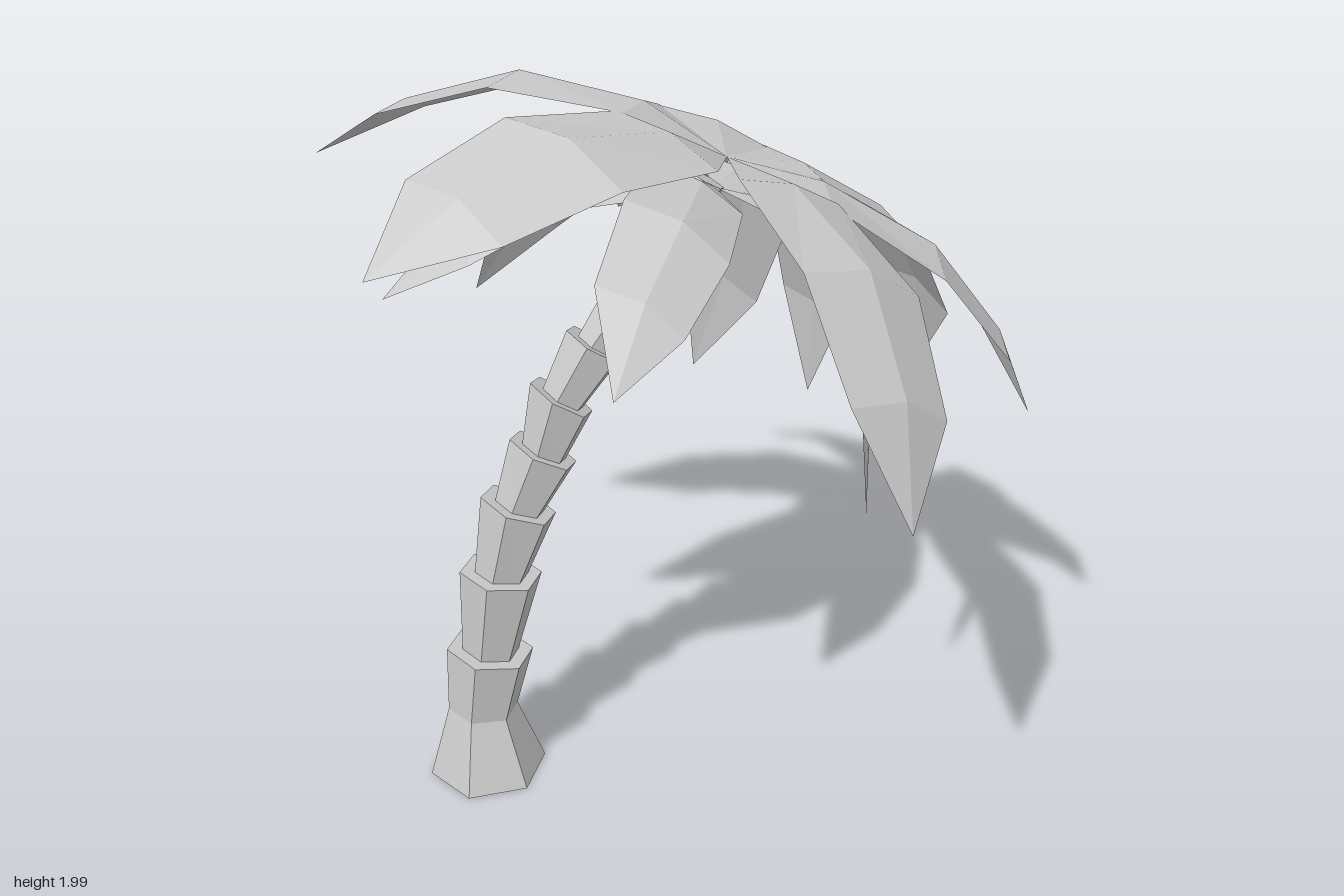
import * as THREE from 'three';

const trunkMaterial = new THREE.MeshStandardMaterial({ color: 0xcccccc, flatShading: true });
const leafMaterial = new THREE.MeshStandardMaterial({ color: 0xcccccc, flatShading: true, side: THREE.DoubleSide });

const LEAN = THREE.MathUtils.degToRad(24);
const AXIS = new THREE.Vector3(Math.sin(LEAN), Math.cos(LEAN), 0);
const CROWN = new THREE.Vector3(0.09, 1.79, 0);
const LOWER_CROWN = CROWN.clone().addScaledVector(AXIS, -0.085);

function meshFromTriangles(points, material, name) {
  const geometry = new THREE.BufferGeometry().setFromPoints(points);
  geometry.computeVertexNormals();
  const mesh = new THREE.Mesh(geometry, material);
  mesh.name = name;
  return mesh;
}

// Hexagonal ring centred at (x, y), leaning toward +x by tilt degrees
function ring([x, y, radius, tilt]) {
  const t = THREE.MathUtils.degToRad(tilt);
  return Array.from({ length: 6 }, (_, i) => {
    const a = (i * Math.PI) / 3;
    const across = radius * Math.cos(a);
    return new THREE.Vector3(x + across * Math.cos(t), y - across * Math.sin(t), radius * Math.sin(a));
  });
}

// Closed hexagonal solid through a list of rings
function loft(sections, name) {
  const rings = sections.map(ring);
  const centres = sections.map(([x, y]) => new THREE.Vector3(x, y, 0));
  const last = rings.length - 1;
  const tris = [];
  for (let i = 0; i < 6; i++) {
    const j = (i + 1) % 6;
    for (let k = 0; k < last; k++) {
      const a = rings[k], b = rings[k + 1];
      tris.push(a[i], b[i], b[j], a[i], b[j], a[j]);
    }
    tris.push(centres[0], rings[0][i], rings[0][j]);
    tris.push(centres[last], rings[last][j], rings[last][i]);
  }
  return meshFromTriangles(tris, trunkMaterial, name);
}

// Drooping leaf with a raised rib, from root to tip; it may roll (degrees) and sway sideways
function leaf(root, [x, y, z, roll = 0, sway = 0], width, name) {
  const end = new THREE.Vector3(x, y, z);
  const offset = end.clone().sub(root);
  const drop = -offset.dot(AXIS);
  const reach = offset.clone().addScaledVector(AXIS, drop);
  const along = reach.clone().normalize();
  const angle = THREE.MathUtils.degToRad(roll);
  const side = new THREE.Vector3().crossVectors(AXIS, along).applyAxisAngle(along, angle);
  const up = AXIS.clone().applyAxisAngle(along, angle);

  // Share of the reach, share of the drop, half width, rib height
  const stations = [
    [0.245, -0.035, 0.178, 0.022],
    [0.57, 0.145, 0.205, 0.04],
    [0.825, 0.56, 0.17, 0.035],
  ].map(([share, fall, half, rib]) => {
    const mid = root.clone().addScaledVector(reach, share).addScaledVector(AXIS, -fall * drop);
    return [
      mid.clone().addScaledVector(side, half * width + sway),
      mid.clone().addScaledVector(side, sway).addScaledVector(up, rib * width),
      mid.clone().addScaledVector(side, sway - half * width),
    ];
  });
  const tris = [];
  for (let c = 0; c < 2; c++) {
    tris.push(root, stations[0][c], stations[0][c + 1]);
    for (let k = 0; k < 2; k++) {
      const a = stations[k], b = stations[k + 1];
      tris.push(a[c], b[c], b[c + 1], a[c], b[c + 1], a[c + 1]);
    }
    tris.push(stations[2][c], end, stations[2][c + 1]);
  }
  return meshFromTriangles(tris, leafMaterial, name);
}

export function createModel() {
  const tree = new THREE.Group();
  tree.name = 'palmTree';

  // Trunk: flared foot, then stacked segments that widen upward
  const trunk = new THREE.Group();
  trunk.name = 'trunk';
  trunk.add(loft([[-0.625, 0, 0.168, 0], [-0.63, 0.21, 0.1, 5], [-0.6, 0.4, 0.124, 9]], 'trunkBase'));
  const joints = [
    [-0.6, 0.4, 0.124, 9],
    [-0.557, 0.647, 0.116, 9],
    [-0.498, 0.852, 0.11, 21],
    [-0.423, 1.01, 0.101, 27],
    [-0.367, 1.163, 0.098, 32],
    [-0.273, 1.307, 0.088, 33],
    [-0.147, 1.465, 0.08, 38],
    [-0.055, 1.6, 0.068, 32],
    [0.035, 1.735, 0.055, 30],
  ];
  for (let i = 1; i < joints.length; i++) {
    const [x, y, radius, tilt] = joints[i - 1];
    trunk.add(loft([[x, y - 0.01, radius * 0.64, tilt], joints[i]], 'trunkSegment' + i));
  }
  tree.add(trunk);

  // Crown: six broad upper leaves over six narrower hanging ones
  const crown = new THREE.Group();
  crown.name = 'crown';
  const upperTips = [
    [0.91, 1.04, 0.21], [0.84, 0.98, -0.37], [0.04, 1.31, -1],
    [-0.91, 1.71, -0.57], [-0.91, 1.78, 0.57], [0.23, 1.2, 1],
  ];
  const lowerTips = [
    [0.38, 0.88, 0.355], [0.46, 0.91, -0.35, 8, 0.025], [0.19, 0.89, -0.66],
    [-0.48, 1.23, -0.65, 10, 0.03], [-0.82, 1.51, 0.03, -16, 0.035], [-0.38, 1.46, 0.66, -8, -0.03],
  ];
  upperTips.forEach((tip, i) => crown.add(leaf(CROWN, tip, 1, 'upperLeaf' + (i + 1))));
  lowerTips.forEach((tip, i) => crown.add(leaf(LOWER_CROWN, tip, 0.72, 'lowerLeaf' + (i + 1))));
  tree.add(crown);

  return tree;
}
